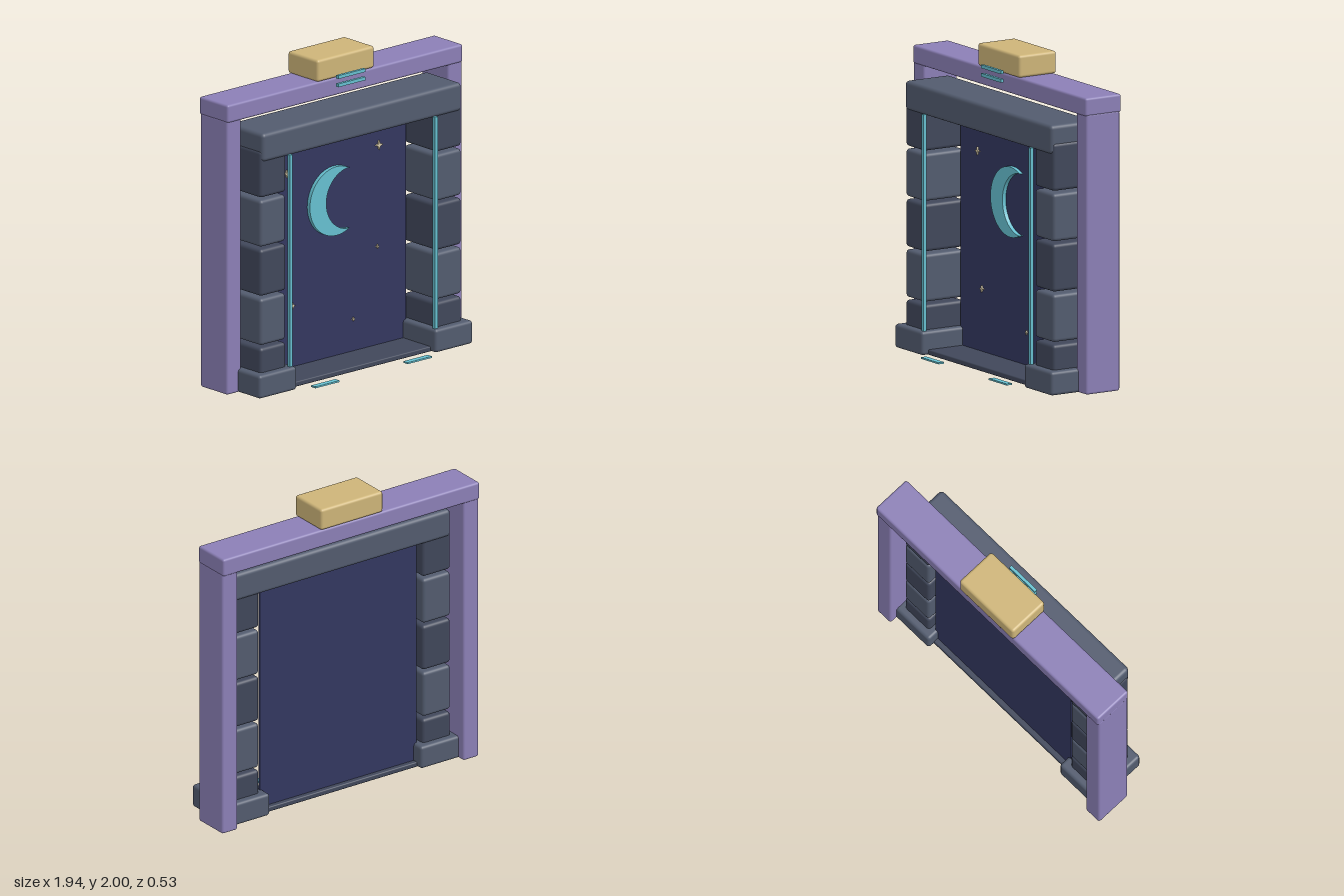
import * as THREE from 'three';
import { RoundedBoxGeometry } from 'three/addons/geometries/RoundedBoxGeometry.js';

const mat = (color) => new THREE.MeshStandardMaterial({ color });

export function createModel() {
  const root = new THREE.Group();
  const purple = mat(0x8b7fb6);
  const gold = mat(0xcdb478);
  const stoneLight = mat(0x525b6e);
  const stoneDark = mat(0x40475a);
  const night = mat(0x33375f);
  const teal = mat(0x66bfcf);
  const starlight = mat(0xd9ccab);

  const add = (name, geometry, material, x = 0, y = 0, z = 0) => {
    const mesh = new THREE.Mesh(geometry, material);
    mesh.name = name;
    mesh.position.set(x, y, z);
    root.add(mesh);
    return mesh;
  };

  // Box given by its extents; a radius rounds its edges
  const block = (name, material, [x0, x1], [y0, y1], [z0, z1], radius = 0) => {
    const size = [x1 - x0, y1 - y0, z1 - z0];
    const geometry = radius
      ? new RoundedBoxGeometry(...size, 3, radius)
      : new THREE.BoxGeometry(...size);
    return add(name, geometry, material, (x0 + x1) / 2, (y0 + y1) / 2, (z0 + z1) / 2);
  };

  // The same box on both sides of the doorway
  const pair = (name, material, [x0, x1], y, z, radius) => {
    block(name + 'Left', material, [x0, x1], y, z, radius);
    block(name + 'Right', material, [-x1, -x0], y, z, radius);
  };

  // Outer frame: posts, beam and keystone
  pair('post', purple, [0.852, 0.97], [0.005, 1.76], [-0.247, 0], 0.015);
  block('beam', purple, [-0.97, 0.97], [1.745, 1.86], [-0.257, 0.005], 0.015);
  block('keystone', gold, [-0.235, 0.235], [1.86, 2], [-0.264, 0.012], 0.018);

  // Stone doorway: plinths, stacked jamb stones, lintel and threshold
  pair('plinth', stoneLight, [0.57, 0.88], [0.005, 0.153], [-0.195, 0.198], 0.02);
  for (let i = 0; i < 5; i++) {
    const even = i % 2;
    const y = 0.01 + i * 0.315;
    pair('jambStone' + (i + 1), even ? stoneLight : stoneDark,
      even ? [0.619, 0.829] : [0.617, 0.829], [y, y + 0.298], [-0.148, 0.15], 0.022);
  }
  block('lintel', stoneLight, [-0.821, 0.821], [1.5, 1.68], [-0.162, 0.162], 0.025);
  block('threshold', stoneDark, [-0.6, 0.6], [0.005, 0.038], [-0.15, 0.15], 0.008);

  // Night sky panel closing the opening
  block('nightPanel', night, [-0.592, 0.592], [0.03, 1.52], [-0.117, -0.1]);

  // Crescent moon
  const cx = 0.11, inner = 0.195, outer = 0.22;
  const tip = Math.atan2(0.193, 0.105);
  const hollow = Math.atan2(0.193, 0.105 - cx);
  const crescent = new THREE.Shape();
  crescent.absarc(0, 0, outer, tip, 2 * Math.PI - tip, false);
  crescent.absarc(cx, 0, inner, 2 * Math.PI - hollow, hollow, true);
  add('moon', new THREE.ExtrudeGeometry(crescent, { depth: 0.025, bevelEnabled: false, curveSegments: 40 }),
    teal, 0, 1.035, -0.1);

  // Four-pointed stars
  const stars = [
    [-0.395, 1.285, 0.025], [0.366, 1.315, 0.031], [0.354, 0.668, 0.014],
    [-0.346, 0.43, 0.021], [0.155, 0.243, 0.013],
  ];
  stars.forEach(([x, y, r], i) => {
    const points = Array.from({ length: 8 }, (_, k) => {
      const radius = k % 2 ? r * 0.36 : r;
      const a = (k * Math.PI) / 4;
      return new THREE.Vector2(radius * Math.cos(a), radius * Math.sin(a));
    });
    add('star' + (i + 1), new THREE.ExtrudeGeometry(new THREE.Shape(points),
      { depth: 0.012, bevelEnabled: false }), starlight, x, y, -0.1);
  });

  // Glowing strips along the jambs, over the door and on the floor
  pair('jambStrip', teal, [0.586, 0.61], [0.12, 1.507], [0.152, 0.174]);
  block('lowerBeamStrip', teal, [-0.112, 0.112], [1.817, 1.838], [0.045, 0.065]);
  block('upperBeamStrip', teal, [-0.112, 0.112], [1.87, 1.891], [0.045, 0.065]);
  pair('floorStrip', teal, [0.28, 0.48], [0.01, 0.02], [0.224, 0.264]);

  // Rest the frame on the ground
  root.children.forEach((part) => { part.position.y -= 0.005; });
  return root;
}
